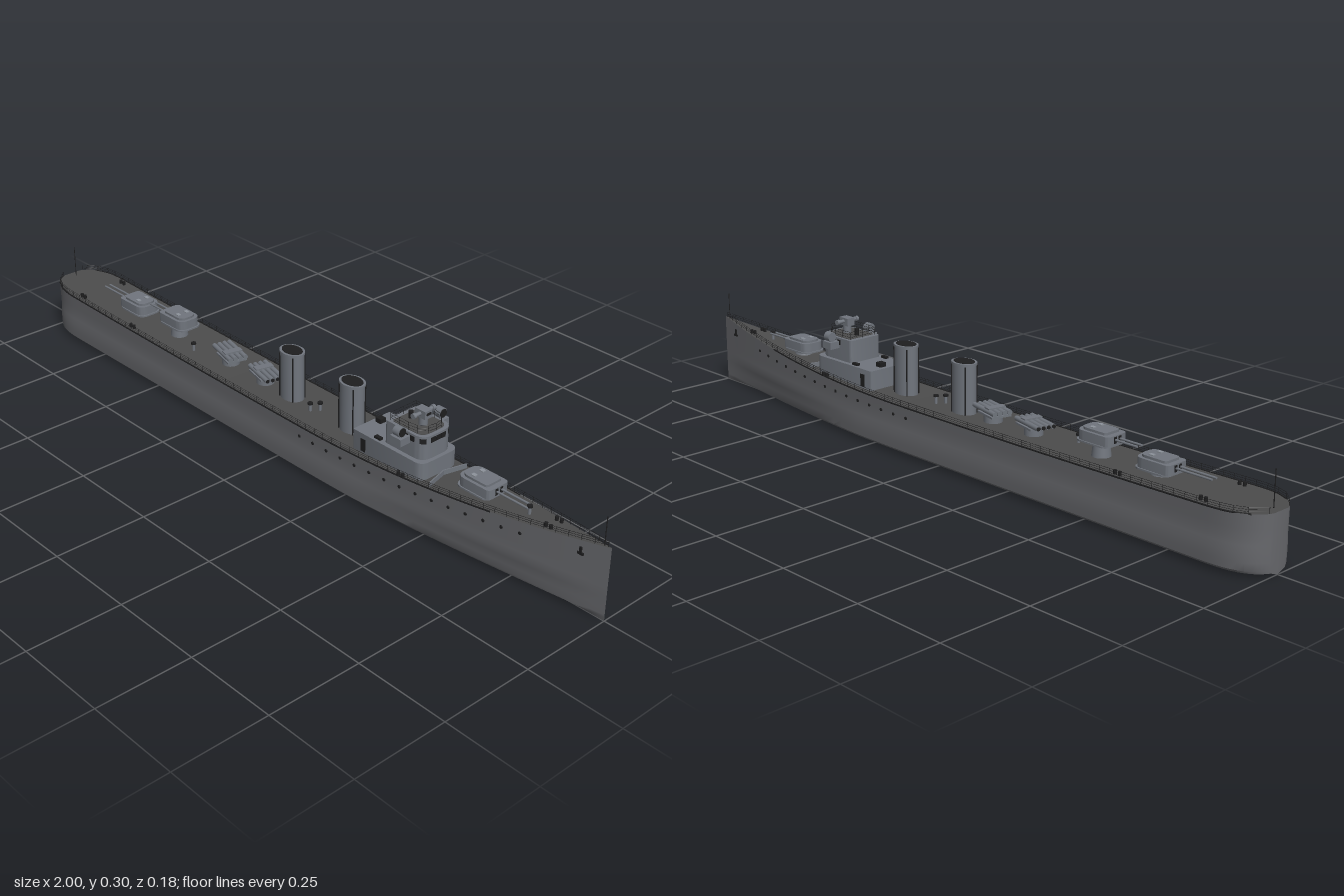
import * as THREE from 'three';
import { mergeGeometries, toCreasedNormals } from 'three/addons/utils/BufferGeometryUtils.js';

const mat = (name, color) => Object.assign(new THREE.MeshStandardMaterial({ color }), { name });
const V = (x, y, z) => new THREE.Vector3(x, y, z);

// hull rules: deck height and half breadth along the ship
const deckY = x => 0.136 + (x > 0.1 ? 0.055 * ((x - 0.1) / 0.9) ** 2 : x < 0 ? 0.011 * x * x : 0);
function half(x) {
  if (x > 0.1) return Math.max(0.0008, 0.088 * (1 - ((x - 0.1) / 0.9) ** 2.2));
  if (x < -0.85) return 0.088 * Math.sqrt(1 - (0.97 * (-0.85 - x) / 0.15) ** 3);
  return 0.088;
}
const sideZ = (x, y) => half(x) * (0.975 + 0.025 * (y - 0.085) / (deckY(x) - 0.085));

// skin between cross-sections ordered along +x
function loft(rings) {
  const n = rings[0].length, pos = rings.flat(2), idx = [];
  for (let i = 0; i < rings.length - 1; i++) for (let j = 0; j < n - 1; j++) {
    const a = i * n + j, b = a + n;
    idx.push(a, a + 1, b, b, a + 1, b + 1);
  }
  const g = new THREE.BufferGeometry();
  g.setAttribute('position', new THREE.Float32BufferAttribute(pos, 3));
  g.setIndex(idx);
  return toCreasedNormals(g, 0.6);
}

export function createModel() {
  const root = new THREE.Group();
  const hullGrey = mat('hull grey', 0x66676b), deckGrey = mat('deck grey', 0x4c4c4c);
  const upperGrey = mat('upperworks grey', 0x70757d), black = mat('fittings black', 0x1e1e1f);
  const pale = mat('hatch grey', 0x8d939b);

  const add = (name, geo, m, x = 0, y = 0, z = 0, parent = root) => {
    const mesh = new THREE.Mesh(geo, m);
    mesh.name = name;
    mesh.position.set(x, y, z);
    parent.add(mesh);
    return mesh;
  };
  const group = (name, x, y, z, ry = 0) => {
    const g = new THREE.Group();
    g.name = name;
    g.position.set(x, y, z);
    g.rotation.y = ry;
    root.add(g);
    return g;
  };
  const box = (w, h, d) => new THREE.BoxGeometry(w, h, d);
  const cyl = (r, h, s = 20, r2 = r) => new THREE.CylinderGeometry(r2, r, h, s);
  const rod = (a, b, r = 0.0007, s = 4) => {
    const d = b.clone().sub(a), g = cyl(r, d.length(), s);
    g.applyQuaternion(new THREE.Quaternion().setFromUnitVectors(V(0, 1, 0), d.normalize()));
    return g.translate(...a.clone().add(b).multiplyScalar(0.5).toArray());
  };
  // upright block with separate corner radii at its front (+x) and back
  const block = (x0, x1, w, h, rf, rb) => {
    const s = new THREE.Shape();
    s.moveTo(x0 + rb, -w); s.lineTo(x1 - rf, -w);
    s.quadraticCurveTo(x1, -w, x1, -w + rf); s.lineTo(x1, w - rf);
    s.quadraticCurveTo(x1, w, x1 - rf, w); s.lineTo(x0 + rb, w);
    s.quadraticCurveTo(x0, w, x0, w - rb); s.lineTo(x0, -w + rb);
    s.quadraticCurveTo(x0, -w, x0 + rb, -w);
    const g = new THREE.ExtrudeGeometry(s, { depth: h, bevelEnabled: false, curveSegments: 8 });
    return toCreasedNormals(g.rotateX(-Math.PI / 2), 0.6);
  };
  // posts and wires along a line of foot points
  const railing = (feet, h, wires) => {
    const parts = [];
    feet.forEach((p, i) => {
      parts.push(rod(p, p.clone().add(V(0, h, 0))));
      if (i) for (let k = 1; k <= wires; k++) {
        const up = V(0, h * k / wires, 0);
        parts.push(rod(feet[i - 1].clone().add(up), p.clone().add(up), 0.0005));
      }
    });
    return mergeGeometries(parts);
  };

  // hull shell, closed by a narrow flat stern
  const stations = [];
  for (let i = 0; i <= 12; i++) stations.push(-1 + 0.15 * (i / 12) ** 2);
  for (let i = 1; i <= 50; i++) stations.push(-0.85 + 1.85 * i / 50);
  const section = x => {
    const h = half(x), d = deckY(x), k = 1 - 0.3 * Math.max(0, (x - 0.3) / 0.7);
    const right = [[1, d], [0.985, 0.11], [0.98, 0.088], [0.995, 0.074], [1.015 * (1 + k) / 2, 0.058],
      [1.015 * k, 0.035], [k, 0.016], [0.93 * k, 0.0095], [0.5 * k, 0.005]]
      .map(([f, y]) => [x, y, f * h]);
    return [...right, [x, 0, 0], ...right.map(([a, b, c]) => [a, b, -c]).reverse()];
  };
  const rings = stations.map(section);
  add('hull', loft([rings[0].map(([x, y]) => [x, y, 0]), ...rings]), hullGrey);
  add('deck', loft(stations.map(x => [[x, deckY(x), -half(x)], [x, deckY(x), half(x)]])), deckGrey);

  // deck edge, railings, portholes, anchors and bollards on both sides
  for (const s of [1, -1]) {
    const side = s > 0 ? 'left' : 'right';
    const edge = (x, inset = 0.002) => V(x, deckY(x), s * Math.max(0, half(x) - inset));
    const edgePts = [], feet = [];
    for (let i = 0; i <= 40; i++) edgePts.push(edge(-0.97 + 1.67 * i / 40, 0.001));
    add(side + 'DeckEdge', new THREE.TubeGeometry(new THREE.CatmullRomCurve3(edgePts), 80, 0.0022, 5), black);
    for (let i = 0; i <= 64; i++) feet.push(edge(-0.995 + 1.985 * i / 64));
    add(side + 'Railing', railing(feet, 0.015, 3), black);
    const ports = [];
    for (let i = 0; i < 15; i++) {
      const x = 0.1 + 0.68 * i / 14, y = 0.108 + 0.03 * (i / 14) ** 2;
      ports.push(cyl(0.0042, 0.004, 10).rotateX(Math.PI / 2).translate(x, y, s * sideZ(x, y)));
    }
    add(side + 'Portholes', mergeGeometries(ports), black);
    add(side + 'Anchor', mergeGeometries([box(0.006, 0.02, 0.006), box(0.016, 0.006, 0.006).translate(0, -0.007, 0)]),
      black, 0.93, 0.157, s * sideZ(0.93, 0.157));
    for (const [x, z] of [[-0.845, 0.068], [-0.605, 0.074], [0.44, 0.075], [0.84, 0.018]])
      for (const dx of [-0.007, 0.007]) add('bollard', cyl(0.0045, 0.01, 10), black, x + dx, deckY(x) + 0.005, s * z);
  }

  // flagstaffs
  add('sternFlagstaff', rod(V(-0.98, 0.145, 0), V(-0.98, 0.236, 0), 0.0012, 6), black);
  add('bowFlagstaff', rod(V(0.98, 0.188, 0), V(0.98, 0.263, 0), 0.0012, 6), black);

  // twin gun mounts
  const gun = (name, x, base, ry, reach) => {
    const y = deckY(x), g = group(name, x, y, 0, ry);
    add('pedestal', cyl(0.024, base + 0.004, 24, 0.02), upperGrey, 0, base / 2, 0, g);
    add('turntable', block(-0.056, 0.045, 0.037, 0.004, 0.02, 0.025), upperGrey, 0, base, 0, g);
    add('gunHouse', block(-0.052, 0.048, 0.034, 0.024, 0.012, 0.024), upperGrey, 0, base + 0.004, 0, g);
    add('roof', block(-0.044, 0.034, 0.026, 0.006, 0.01, 0.02), upperGrey, 0, base + 0.028, 0, g);
    for (const s of [1, -1]) {
      add('barrel', rod(V(0.04, base + 0.018, s * 0.008), V(reach, base + 0.018, s * 0.008), 0.0028, 10), upperGrey, 0, 0, 0, g);
      add('gunPort', box(0.002, 0.016, 0.008), black, 0.0485, base + 0.017, s * 0.008, g);
      add('roofHatch', box(0.012, 0.003, 0.01), pale, -0.016, base + 0.035, s * 0.014, g);
    }
  };
  gun('forwardGun', 0.63, 0.012, 0, 0.14);
  gun('upperAftGun', -0.49, 0.034, Math.PI, 0.115);
  gun('lowerAftGun', -0.67, 0.01, Math.PI, 0.15);

  // torpedo tube mounts
  for (const [x, dir] of [[-0.27, Math.PI], [-0.13, 0]]) {
    const g = group('torpedoMount', x, deckY(x), 0, dir - 0.24);
    add('mountBase', cyl(0.024, 0.022), upperGrey, 0, 0.011, 0, g);
    add('mountTable', box(0.07, 0.005, 0.056), upperGrey, -0.005, 0.022, 0, g);
    for (let i = 0; i < 4; i++) {
      const z = (i - 1.5) * 0.0145;
      add('torpedoTube', rod(V(-0.045, 0.032, z), V(0.055, 0.032, z), 0.0065, 12), upperGrey, 0, 0, 0, g);
      add('tubeMouth', rod(V(0.055, 0.032, z), V(0.057, 0.032, z), 0.005, 12), black, 0, 0, 0, g);
    }
    add('tubeClamp', box(0.02, 0.006, 0.05), upperGrey, -0.01, 0.038, 0, g);
  }

  // funnels with caps and steam pipes
  for (const x of [-0.025, 0.195]) {
    const g = group('funnel', x, deckY(x), 0);
    add('casing', cyl(0.035, 0.13, 32).scale(1, 1, 0.76), upperGrey, 0, 0.065, 0, g);
    add('cap', cyl(0.037, 0.006, 32).scale(1, 1, 0.78), upperGrey, 0, 0.13, 0, g);
    add('opening', cyl(0.031, 0.003, 32).scale(1, 1, 0.72), black, 0, 0.133, 0, g);
    for (const sx of [1, -1]) for (const sz of [1, -1])
      add('steamPipe', cyl(0.0018, 0.125, 6), black, sx * 0.025, 0.0625, sz * 0.0205, g);
  }

  // deckhouse, bridge and lookout platform
  const house = block(0.265, 0.495, 0.062, 0.056, 0.025, 0.004);
  add('deckhouse', house, upperGrey, 0, 0.135, 0);
  add('bridge', block(0.36, 0.485, 0.05, 0.062, 0.03, 0.008), upperGrey, 0, 0.19, 0);
  add('bridgeDeck', block(0.375, 0.475, 0.042, 0.002, 0.025, 0.008), deckGrey, 0, 0.2515, 0);
  for (let i = -2; i <= 2; i++) if (Math.abs(i) < 2) add('frontWindow', box(0.003, 0.013, 0.014), black, 0.485, 0.24, i * 0.0165);
  for (const s of [1, -1]) {
    const angled = add('cornerWindow', box(0.016, 0.013, 0.003), black, 0.4765, 0.24, s * 0.0415);
    angled.rotation.y = s * Math.PI / 4;
    for (let i = 0; i < 3; i++) add('sideWindow', box(0.013, 0.013, 0.003), black, 0.41 + i * 0.02, 0.24, s * 0.05);
    add('bridgeWing', box(0.035, 0.019, 0.034), upperGrey, 0.425, 0.234, s * 0.064);
    add('searchlightStand', cyl(0.004, 0.012, 8), upperGrey, 0.425, 0.246, s * 0.068);
    add('searchlight', cyl(0.013, 0.02, 20).rotateZ(Math.PI / 2), upperGrey, 0.425, 0.256, s * 0.068);
    add('searchlightGlass', cyl(0.011, 0.002, 20).rotateZ(Math.PI / 2), black, 0.4355, 0.256, s * 0.068);
    add('roofHatch', box(0.02, 0.006, 0.01), black, 0.34, 0.194, s * 0.05);
    add('houseDoor', box(0.016, 0.034, 0.003), black, 0.3, 0.16, s * 0.0615);
    add('breakwater', box(0.003, 0.014, 0.064), upperGrey, 0.515, 0.153, s * 0.031).rotation.y = s * 0.25;
  }
  const ringFeet = [[0.37, -0.042], [0.4, -0.044], [0.43, -0.044], [0.455, -0.04], [0.473, -0.022], [0.477, 0],
    [0.473, 0.022], [0.455, 0.04], [0.43, 0.044], [0.4, 0.044], [0.37, 0.042], [0.37, 0], [0.37, -0.042]];
  add('bridgeRailing', railing(ringFeet.map(([x, z]) => V(x, 0.252, z)), 0.021, 3), black);

  // gun director with rangefinder
  add('directorPost', cyl(0.011, 0.024), upperGrey, 0.435, 0.264, 0);
  add('director', box(0.034, 0.021, 0.024), upperGrey, 0.435, 0.285, 0);
  add('directorSlit', box(0.002, 0.006, 0.014), black, 0.4525, 0.287, 0);
  add('rangefinder', rod(V(0.435, 0.286, -0.034), V(0.435, 0.286, 0.034), 0.005, 14), upperGrey);
  for (const s of [1, -1]) add('rangefinderEnd', cyl(0.0072, 0.008, 14).rotateX(Math.PI / 2), upperGrey, 0.435, 0.286, s * 0.032);
  add('compassStand', cyl(0.006, 0.02, 10), black, 0.395, 0.262, 0);

  // small deck fittings
  add('roofVent', box(0.018, 0.012, 0.018), black, 0.285, 0.197, -0.01);
  for (const [x, z] of [[0.06, 0.015], [0.075, -0.005], [-0.39, 0.03], [0.77, 0]]) {
    add('deckVent', cyl(0.004, 0.02, 10), upperGrey, x, deckY(x) + 0.01, z);
    add('ventCap', cyl(0.007, 0.005, 10), black, x, deckY(x) + 0.021, z);
  }
  return root;
}
